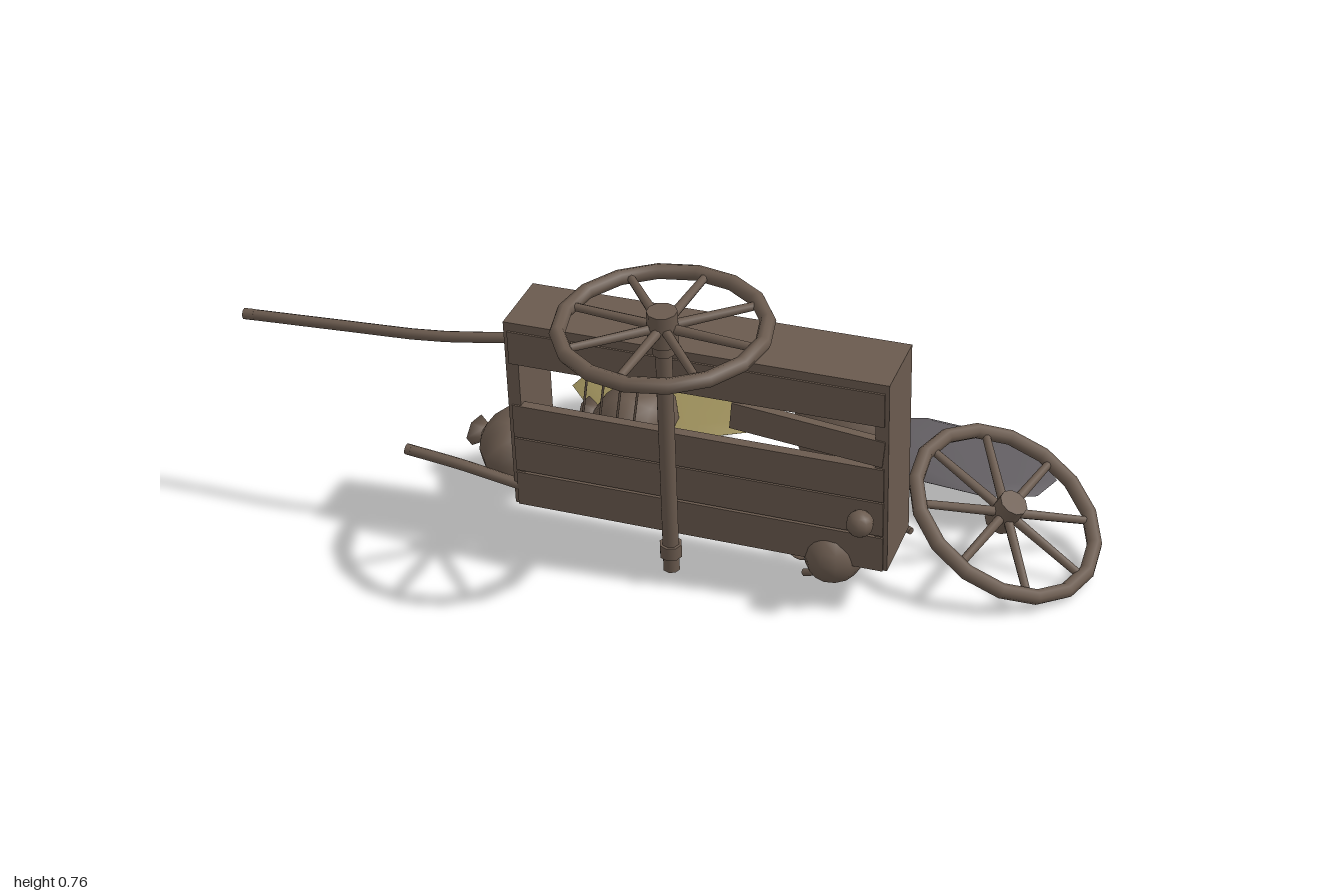
import * as THREE from 'three';

const wood = new THREE.MeshStandardMaterial({ color: 0x6a5a4e });
wood.name = 'brown wood';
const grain = new THREE.MeshStandardMaterial({ color: 0x978a58, side: THREE.DoubleSide });
grain.name = 'straw yellow';
const slate = new THREE.MeshStandardMaterial({ color: 0x625e62, side: THREE.DoubleSide });
slate.name = 'slate grey';

const V = (p) => new THREE.Vector3(...p);

function add(parent, name, geometry, pos = [0, 0, 0], rot = [0, 0, 0], material = wood) {
  const mesh = new THREE.Mesh(geometry, material);
  mesh.name = name;
  mesh.position.set(...pos);
  mesh.rotation.set(...rot);
  parent.add(mesh);
  return mesh;
}

const box = (parent, name, size, pos, rot) => add(parent, name, new THREE.BoxGeometry(...size), pos, rot);

// Round stick between two points
function stick(parent, name, a, b, r0, r1 = r0) {
  const from = V(a), dir = V(b).sub(from);
  const mesh = add(parent, name, new THREE.CylinderGeometry(r1, r0, dir.length(), 8));
  mesh.position.copy(from).addScaledVector(dir, 0.5);
  mesh.quaternion.setFromUnitVectors(new THREE.Vector3(0, 1, 0), dir.normalize());
  return mesh;
}

// Spoked wheel, axle along local y
function wheel(name) {
  const g = new THREE.Group();
  g.name = name;
  add(g, 'rim', new THREE.TorusGeometry(0.24, 0.019, 8, 16), [0, 0, 0], [Math.PI / 2, 0, 0]);
  add(g, 'hub', new THREE.CylinderGeometry(0.036, 0.036, 0.085, 10));
  for (let i = 0; i < 8; i++) {
    const a = (i / 8) * Math.PI * 2 + 0.1, c = Math.cos(a), s = Math.sin(a);
    stick(g, 'spoke', [c * 0.03, 0, s * 0.03], [c * 0.235, 0, s * 0.235], 0.012, 0.01);
  }
  return g;
}

// Tied sack standing on its base, scaled to radius x, height y, radius z
function sack(parent, name, pos, rot, scale) {
  const g = new THREE.Group();
  g.name = name;
  const lathe = (pts, sides) => new THREE.LatheGeometry(pts.map((p) => new THREE.Vector2(...p)), sides);
  add(g, 'sackBody', lathe([[0, 0], [0.45, 0.02], [0.82, 0.13], [1, 0.36], [0.9, 0.57], [0.58, 0.75], [0.2, 0.87]], 12));
  add(g, 'sackNeck', lathe([[0.2, 0.84], [0.2, 0.87], [0.36, 1], [0, 0.98]], 6));
  g.position.set(...pos);
  g.rotation.set(...rot);
  g.scale.set(...scale);
  parent.add(g);
}

// Shallow spilled heap with a faceted outline
function heap(parent, name, pos, turn, rx, rz, material) {
  const pts = [[0, -0.004], [0.97, 0], [1, 0.004], [0.8, 0.018], [0.4, 0.028], [0, 0.03]];
  const mesh = add(parent, name, new THREE.LatheGeometry(pts.map((p) => new THREE.Vector2(...p)), 10), pos, [0, turn, 0], material);
  mesh.scale.set(rx, 1, rz);
}

function buildCart() {
  const cart = new THREE.Group();
  cart.name = 'tippedCart';
  cart.position.set(0.135, 0.405, 0.16);
  cart.rotation.set(0.08, 0.145, 0, 'YXZ');

  // Open box lying on its side, floor planks facing forward
  for (const s of [-1, 1]) {
    box(cart, 'sideBoard', [0.93, 0.03, 0.185], [0, s * 0.242, 0]);
    box(cart, 'endBoard', [0.032, 0.514, 0.185], [s * 0.454, 0, 0]);
  }
  for (const [y, h] of [[0.19, 0.088], [-0.016, 0.09], [-0.111, 0.092], [-0.21, 0.094]]) {
    box(cart, 'floorPlank', [0.92, h, 0.025], [0, y, 0.085]);
  }
  box(cart, 'brokenPlank', [0.37, 0.07, 0.022], [0.275, 0.088, 0.085], [0, 0, -0.1]);

  // Loose cords hanging across the gap
  for (let i = 0; i < 4; i++) {
    const x = -0.27 + i * 0.043;
    stick(cart, 'cord', [x, 0.15, 0.07], [x - 0.025, 0.0, 0.06], 0.003);
  }

  // Axle and bare wheel stub
  const ax = -0.058, az = 0.122;
  stick(cart, 'axle', [ax, -0.345, az], [ax, 0.33, az], 0.021);
  stick(cart, 'axleCollar', [ax, -0.305, az], [ax, -0.27, az], 0.028);
  stick(cart, 'axleCollar', [ax, 0.265, az], [ax, 0.30, az], 0.027);
  const w = wheel('mountedWheel');
  w.position.set(ax, 0.335, az);
  w.rotation.x = 0.03;
  cart.add(w);
  return cart;
}

export function createModel() {
  const model = new THREE.Group();
  model.name = 'brokenCart';
  model.add(buildCart());

  // Fallen wheel leaning on the ground
  const fallen = wheel('fallenWheel');
  fallen.position.set(0.765, 0.16, -0.187);
  fallen.rotation.set(0.16, 0, -0.52);
  model.add(fallen);

  // Long shaft and snapped shaft
  const shafts = [
    ['longShaft', [[-1, 0.55, 0.425], [-0.72, 0.562, 0.38], [-0.5, 0.575, 0.348], [-0.3, 0.597, 0.30]]],
    ['snappedShaft', [[-0.605, 0.234, 0.34], [-0.46, 0.22, 0.322], [-0.3, 0.188, 0.29]]],
  ];
  for (const [name, pts] of shafts) {
    const curve = new THREE.CatmullRomCurve3(pts.map(V));
    add(model, name, new THREE.TubeGeometry(curve, 8, 0.014, 8));
    const last = pts[0], next = pts[1];
    stick(model, name + 'Tip', last, last.map((v, i) => v + (next[i] - v) * 0.1), 0.0145);
  }

  // Sacks
  sack(model, 'lyingSack', [-0.37, 0.135, 0.03], [0, 0, Math.PI / 2], [0.105, 0.23, 0.137]);
  sack(model, 'slumpedSack', [-0.155, 0.135, -0.195], [0, 0.06, Math.PI / 2], [0.122, 0.245, 0.132]);
  sack(model, 'uprightSack', [0.295, 0.09, -0.3], [0, 0.2, 0], [0.148, 0.31, 0.115]);

  // Spilled heaps
  heap(model, 'strawHeap', [-0.243, 0.125, -0.355], 0, 0.28, 0.175, grain);
  heap(model, 'slateHeap', [0.53, 0.125, -0.43], -0.15, 0.28, 0.155, slate);

  // Jug with a ring handle poking out below the box
  const jug = add(model, 'jug', new THREE.SphereGeometry(1, 12, 8), [0.465, 0.143, 0.14]);
  jug.scale.set(0.073, 0.076, 0.085);
  add(model, 'jugHandle', new THREE.TorusGeometry(0.036, 0.005, 6, 12, 4.2), [0.365, 0.118, 0.12], [0, 0, 0.9]);
  stick(model, 'jugSpout', [0.38, 0.052, 0.13], [0.47, 0.085, 0.14], 0.009);
  add(model, 'knob', new THREE.SphereGeometry(0.033, 10, 8), [0.56, 0.285, 0.215]);

  // Scattered broken sticks
  const bits = [
    [[-0.06, 0.13, -0.18], [0.05, 0.13, -0.065]],
    [[0.115, 0.135, -0.195], [0.24, 0.13, -0.085]],
    [[0.22, 0.13, -0.1], [0.35, 0.13, -0.005]],
    [[0.27, 0.13, -0.03], [0.42, 0.14, -0.1]],
    [[0.35, 0.13, 0], [0.42, 0.14, -0.1]],
    [[0.42, 0.14, -0.1], [0.58, 0.13, -0.045]],
  ];
  for (const [a, b] of bits) stick(model, 'brokenStick', a, b, 0.011, 0.009);

  return model;
}
